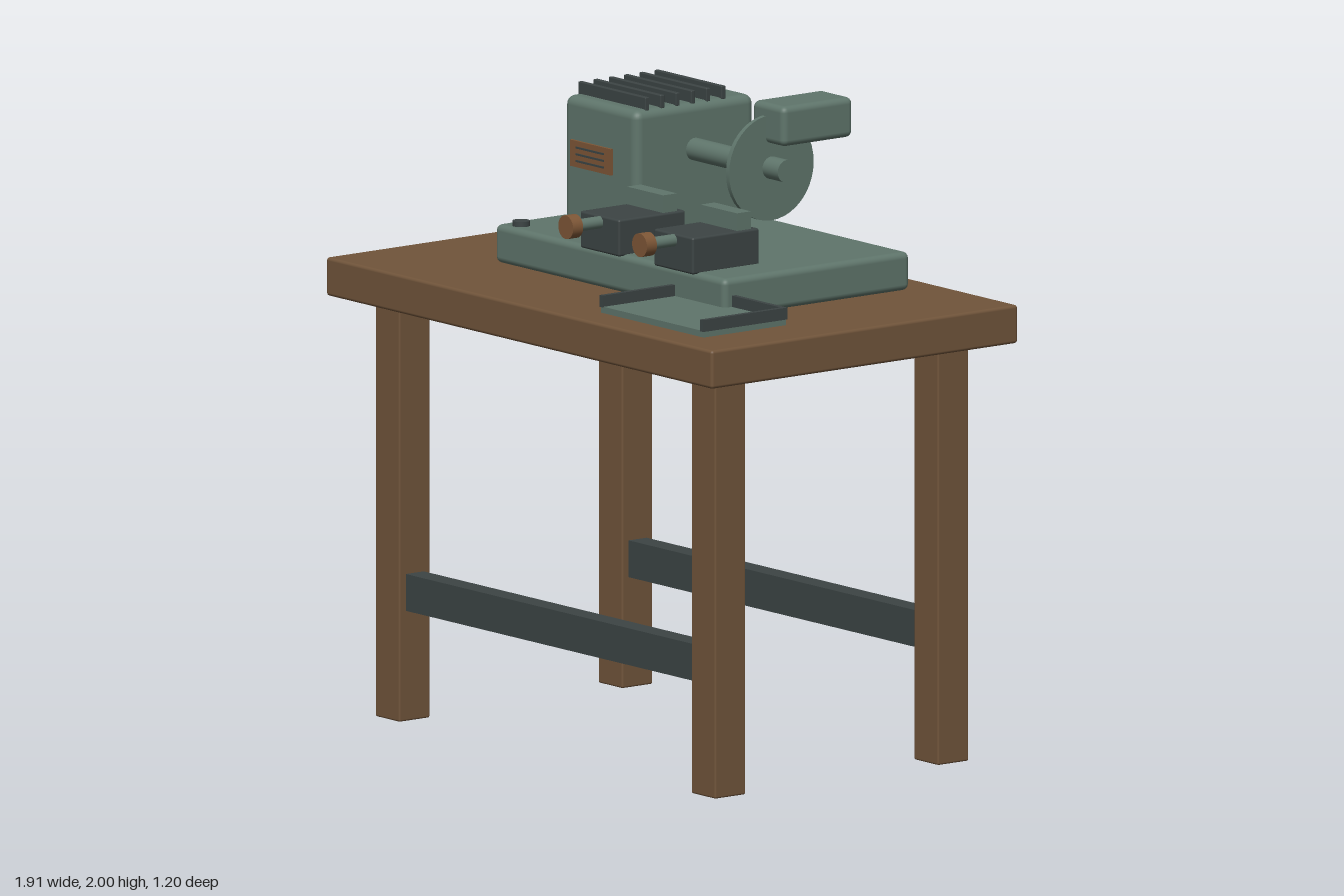
import * as THREE from 'three';
import { RoundedBoxGeometry } from 'three/addons/geometries/RoundedBoxGeometry.js';

const material = (name, color) => {
  const m = new THREE.MeshStandardMaterial({ color });
  m.name = name;
  return m;
};

export function createModel() {
  const wood = material('wood', 0x70543a);
  const green = material('machine green', 0x5f756b);
  const dark = material('dark iron', 0x3c4444);
  const copper = material('copper', 0x7d5636);

  const model = new THREE.Group();
  model.name = 'benchMachine';

  const add = (parent, name, geometry, mat, x = 0, y = 0, z = 0) => {
    const mesh = new THREE.Mesh(geometry, mat);
    mesh.name = name;
    mesh.position.set(x, y, z);
    parent.add(mesh);
    return mesh;
  };
  // Box given by its limits on each axis, with an optional rounded edge
  const box = (parent, name, mat, [x0, x1], [y0, y1], [z0, z1], r = 0) => {
    const size = [x1 - x0, y1 - y0, z1 - z0];
    const geometry = r ? new RoundedBoxGeometry(...size, 3, r) : new THREE.BoxGeometry(...size);
    return add(parent, name, geometry, mat, (x0 + x1) / 2, (y0 + y1) / 2, (z0 + z1) / 2);
  };
  const rod = (parent, name, mat, radius, length, axis, x, y, z) => {
    const geometry = new THREE.CylinderGeometry(radius, radius, length, 40);
    if (axis === 'x') geometry.rotateZ(Math.PI / 2);
    if (axis === 'z') geometry.rotateX(Math.PI / 2);
    return add(parent, name, geometry, mat, x, y, z);
  };

  // Table
  const table = new THREE.Group();
  table.name = 'table';
  model.add(table);
  box(table, 'tableTop', wood, [-0.957, 0.957], [1.31, 1.43], [-0.598, 0.598], 0.01);
  for (const sz of [-1, 1]) {
    for (const sx of [-1, 1]) {
      const leg = box(table, 'leg', wood, [-0.06, 0.06], [0, 1.312], [-0.06, 0.06], 0.006);
      leg.position.x = sx * 0.783;
      leg.position.z = sz * 0.435;
    }
    const stretcher = box(table, 'stretcher', dark, [-0.725, 0.725], [0.345, 0.46], [-0.035, 0.035]);
    stretcher.position.z = sz * 0.435;
  }

  // Machine base and motor housing
  const machine = new THREE.Group();
  machine.name = 'machine';
  model.add(machine);
  box(machine, 'machineBase', green, [-0.573, 0.568], [1.43, 1.55], [-0.484, 0.243], 0.02);
  box(machine, 'motorHousing', green, [-0.5, -0.14], [1.54, 1.94], [-0.435, 0.03], 0.028);
  for (let i = 0; i < 6; i++) {
    const z = -0.323 + i * 0.0595;
    box(machine, 'coolingFin', dark, [-0.488, -0.154], [1.935, 1.977], [z - 0.008, z + 0.008], 0.003);
  }
  rod(machine, 'button', dark, 0.027, 0.02, 'y', -0.5, 1.556, 0.195);

  // Blank nameplate with ruled lines
  box(machine, 'nameplate', copper, [-0.437, -0.235], [1.73, 1.812], [0.046, 0.055]);
  for (const y of [1.75, 1.771, 1.792]) {
    box(machine, 'nameplateLine', dark, [-0.405, -0.267], [y - 0.003, y + 0.003], [0.054, 0.058]);
  }

  // Shaft, cutting wheel and guard
  rod(machine, 'shaft', green, 0.035, 0.465, 'x', 0.0825, 1.797, -0.2);
  rod(machine, 'wheel', green, 0.165, 0.016, 'x', 0.231, 1.797, -0.2);
  box(machine, 'wheelGuard', green, [0.168, 0.326], [1.875, 2], [-0.453, -0.178], 0.02);

  // Pair of clamping vises
  for (const x of [-0.036, 0.33]) {
    const vise = new THREE.Group();
    vise.name = 'vise';
    vise.position.x = x;
    machine.add(vise);
    box(vise, 'viseBody', dark, [-0.097, 0.097], [1.545, 1.66], [-0.005, 0.255], 0.007);
    box(vise, 'viseJaw', green, [-0.09, 0.09], [1.655, 1.715], [0.023, 0.077]);
    rod(vise, 'viseScrew', green, 0.019, 0.1, 'z', 0, 1.639, 0.296);
    rod(vise, 'viseKnob', copper, 0.037, 0.039, 'z', 0, 1.639, 0.367);
  }

  // Catch tray, open at the front
  const tray = new THREE.Group();
  tray.name = 'tray';
  model.add(tray);
  box(tray, 'trayFloor', green, [0.31, 0.82], [1.442, 1.462], [0.2, 0.522]);
  box(tray, 'trayBackRim', dark, [0.308, 0.823], [1.46, 1.497], [0.197, 0.213]);
  for (const x of [0.316, 0.815]) {
    box(tray, 'traySideRim', dark, [x - 0.008, x + 0.008], [1.46, 1.497], [0.2, 0.525]);
  }

  return model;
}
